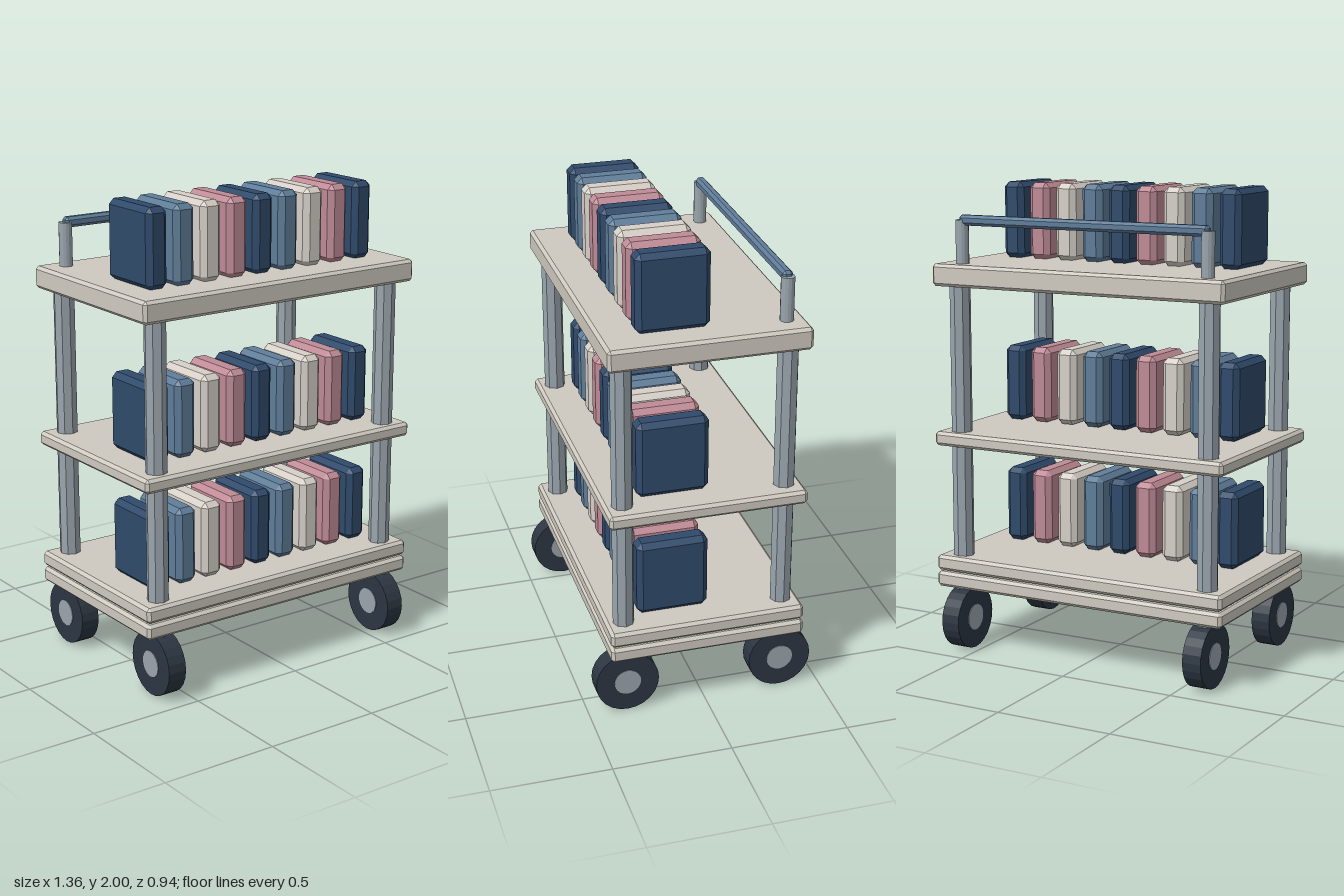
import * as THREE from 'three';
import { ConvexGeometry } from 'three/addons/geometries/ConvexGeometry.js';

const mat = (color) => new THREE.MeshStandardMaterial({ color, flatShading: true });
const navy = mat(0x2f4a6b), blue = mat(0x5f7d99), cream = mat(0xd6d0c8), pink = mat(0xbf8b96);
const board = mat(0xcfcac0), steel = mat(0x9aa5ad), tyreMat = mat(0x2c3642);

// Box with every edge cut at 45 degrees
function chamferBox(w, h, d, b) {
  const points = [];
  for (const sx of [-1, 1]) for (const sy of [-1, 1]) for (const sz of [-1, 1]) {
    const x = w / 2, y = h / 2, z = d / 2;
    points.push(
      new THREE.Vector3(sx * x, sy * (y - b), sz * (z - b)),
      new THREE.Vector3(sx * (x - b), sy * y, sz * (z - b)),
      new THREE.Vector3(sx * (x - b), sy * (y - b), sz * z));
  }
  return new ConvexGeometry(points);
}

function add(parent, name, geometry, material, x, y, z) {
  const mesh = new THREE.Mesh(geometry, material);
  mesh.name = name;
  mesh.position.set(x, y, z);
  parent.add(mesh);
  return mesh;
}

export function createModel() {
  const cart = new THREE.Group();
  cart.name = 'bookCart';

  // Base board and three shelves: bottom and top heights
  const shelves = [
    ['baseBoard', 0.276, 0.342], ['lowerShelf', 0.348, 0.414],
    ['middleShelf', 0.897, 0.957], ['topShelf', 1.58, 1.674]];
  for (const [name, y0, y1] of shelves) {
    add(cart, name, chamferBox(1.36, y1 - y0, 0.828, 0.013), board, 0, (y0 + y1) / 2, 0);
  }

  // Corner posts, each above a wheel
  const postGeo = new THREE.CylinderGeometry(0.045, 0.045, 1.35, 8);
  const tyreGeo = new THREE.CylinderGeometry(0.135, 0.135, 0.082, 24).rotateZ(Math.PI / 2);
  const hubGeo = new THREE.CylinderGeometry(0.057, 0.057, 0.088, 20).rotateZ(Math.PI / 2);
  for (const sx of [-1, 1]) for (const sz of [-1, 1]) {
    add(cart, 'post', postGeo, steel, sx * 0.585, 0.94, sz * 0.34);
    const wheel = new THREE.Group();
    wheel.name = 'wheel';
    wheel.position.set(sx * 0.578, 0.136, sz * 0.333);
    add(wheel, 'tyre', tyreGeo, tyreMat, 0, 0, 0);
    add(wheel, 'hub', hubGeo, steel, 0, 0, 0);
    cart.add(wheel);
  }

  // Push handle along the back of the top shelf
  const handle = new THREE.Group();
  handle.name = 'handle';
  const uprightGeo = new THREE.CylinderGeometry(0.028, 0.028, 0.2, 14);
  for (const sx of [-1, 1]) add(handle, 'handleUpright', uprightGeo, steel, sx * 0.573, 1.757, -0.335);
  add(handle, 'handleBar', chamferBox(1.16, 0.044, 0.044, 0.012), blue, 0, 1.856, -0.335);
  cart.add(handle);

  // A row of nine books on each shelf
  const bookGeo = chamferBox(0.097, 0.328, 0.302, 0.022);
  const colors = [navy, blue, cream, pink];
  for (const y of [0.414, 0.96, 1.672]) {
    const row = new THREE.Group();
    row.name = 'bookRow';
    for (let i = 0; i < 9; i++) {
      add(row, 'book', bookGeo, colors[i % 4], (i - 4) * 0.129, y + 0.164, 0.12);
    }
    cart.add(row);
  }
  return cart;
}
